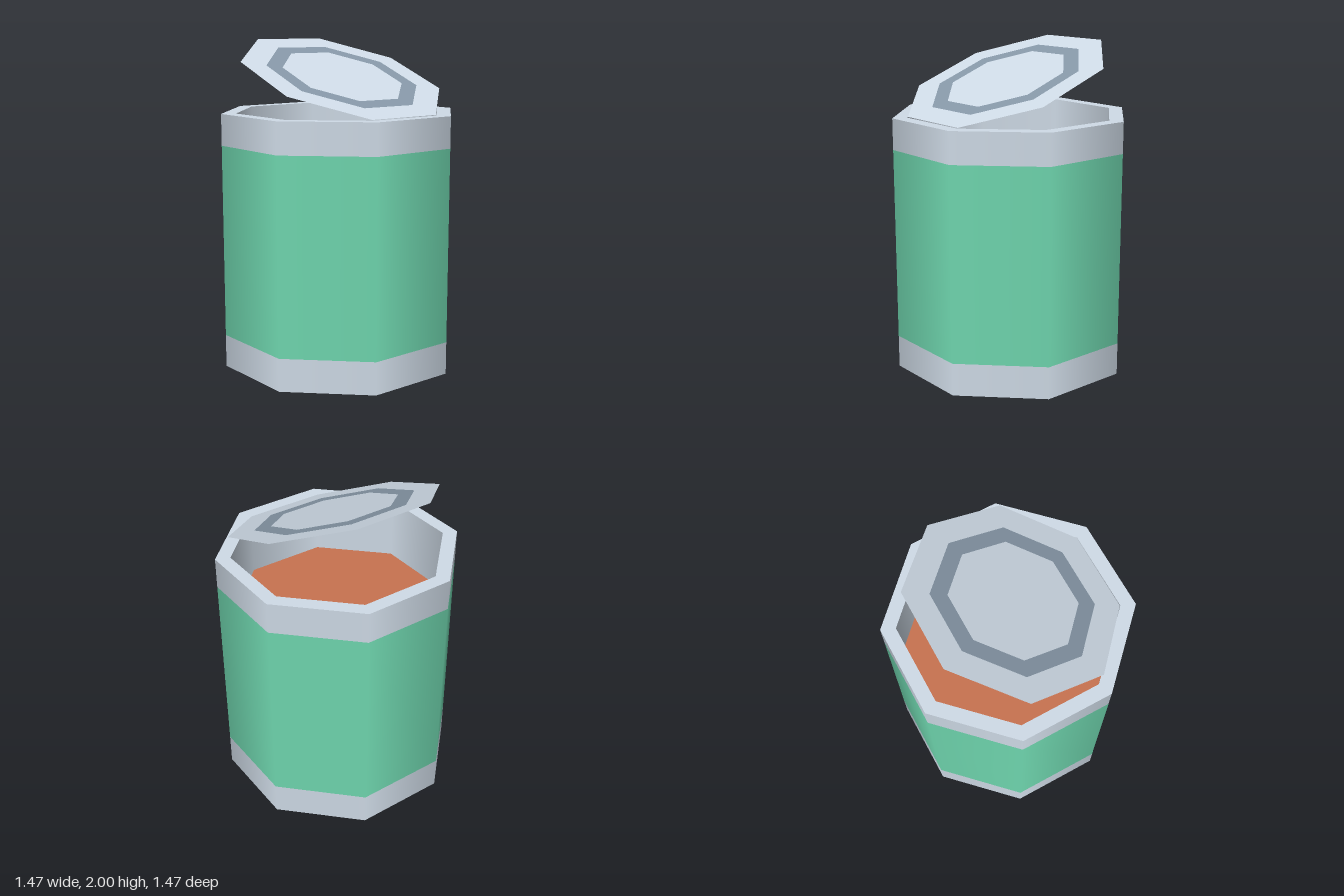
import * as THREE from 'three';

const SIDES = 8;
const R = 0.735, INNER = 0.645, TOP = 1.57;

const material = (color, side = THREE.FrontSide) =>
  new THREE.MeshStandardMaterial({ color, side });

export function createModel() {
  const model = new THREE.Group();
  model.name = 'openCan';
  const metal = material(0xd0dce8);
  const label = material(0x70d8b0);
  const filling = material(0xc97350);

  // One octagonal band swept between two (radius, height) points;
  // rising faces outward, falling faces inward.
  function band(name, mat, r0, y0, r1, y1) {
    const points = [new THREE.Vector2(r0, y0), new THREE.Vector2(r1, y1)];
    const mesh = new THREE.Mesh(new THREE.LatheGeometry(points, SIDES), mat);
    mesh.name = name;
    model.add(mesh);
  }

  // Outer shell
  band('lowerBand', metal, R, 0, R, 0.2);
  band('label', label, R, 0.2, R, 1.38);
  band('upperBand', metal, R, 1.38, R, TOP);

  // Top rim, inside wall and contents
  band('topRim', metal, R, TOP, INNER, TOP);
  band('insideWall', metal, INNER, TOP, INNER, 1.18);
  band('contents', filling, INNER, 1.18, 0, 1.18);

  // Recessed base
  band('bottomRim', metal, INNER, 0, R, 0);
  band('baseRecessWall', metal, INNER, 0.04, INNER, 0);
  band('base', metal, 0, 0.04, INNER, 0.04);

  // Thin lid, tipped up at the back, with a darker inlaid ring
  const lid = new THREE.Group();
  lid.name = 'lid';
  const lidMetal = material(0xd0dce8, THREE.DoubleSide);
  const lidDark = material(0x8798a8, THREE.DoubleSide);
  const rings = [
    ['lidCentre', 0, 0.385, lidMetal],
    ['lidInlay', 0.385, 0.485, lidDark],
    ['lidEdge', 0.485, 0.642, lidMetal],
  ];
  for (const [name, inner, outer, mat] of rings) {
    const geometry = new THREE.RingGeometry(inner, outer, SIDES).rotateX(-Math.PI / 2);
    const mesh = new THREE.Mesh(geometry, mat);
    mesh.name = name;
    lid.add(mesh);
  }
  const across = new THREE.Vector3(0.636, -0.09, -0.015).normalize();
  const forward = new THREE.Vector3(-0.015, -0.2125, 0.605).normalize();
  const up = new THREE.Vector3().crossVectors(forward, across).normalize();
  forward.crossVectors(across, up);
  lid.quaternion.setFromRotationMatrix(new THREE.Matrix4().makeBasis(across, up, forward));
  lid.position.set(0.014, 1.787, 0.035);
  model.add(lid);

  return model;
}
